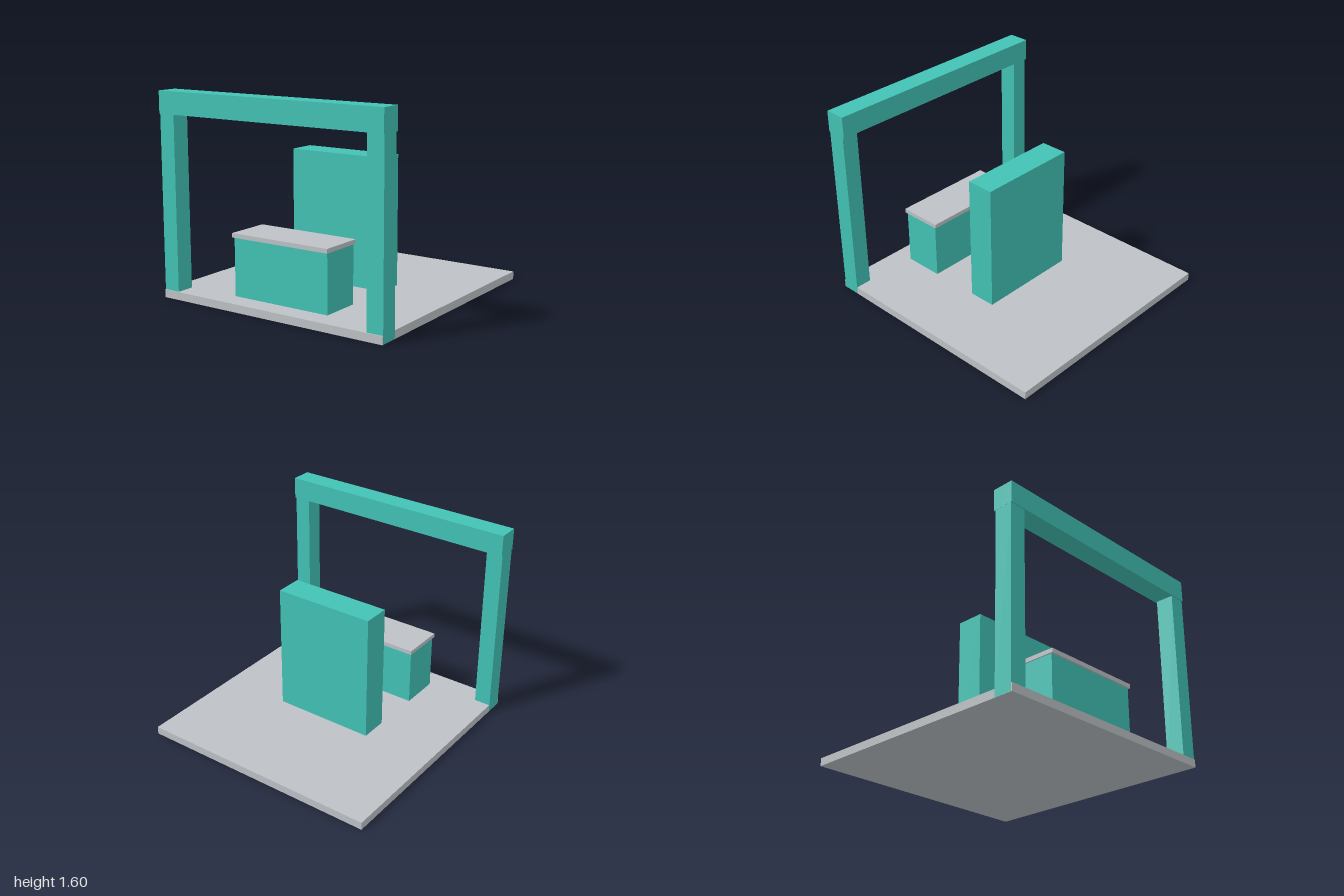
import * as THREE from 'three';

export function createModel() {
  const model = new THREE.Group();
  model.name = 'boothStand';

  const teal = new THREE.MeshStandardMaterial({ color: 0x42c2b4 });
  teal.name = 'teal';
  const grey = new THREE.MeshStandardMaterial({ color: 0xbdc2c6 });
  grey.name = 'light grey';

  // Box given by its lower and upper limits on each axis
  function block(name, material, [x0, x1], [y0, y1], [z0, z1]) {
    const mesh = new THREE.Mesh(new THREE.BoxGeometry(x1 - x0, y1 - y0, z1 - z0), material);
    mesh.position.set((x0 + x1) / 2, (y0 + y1) / 2, (z0 + z1) / 2);
    mesh.name = name;
    model.add(mesh);
  }

  // Floor platform
  block('floor', grey, [-0.994, 0.994], [0, 0.063], [-1, 1]);

  // Entrance frame: two posts, let into the floor, and a beam
  block('leftPost', teal, [0.86, 0.995], [0.002, 1.426], [0.845, 0.992]);
  block('rightPost', teal, [-0.995, -0.86], [0.002, 1.426], [0.845, 0.992]);
  block('beam', teal, [-0.996, 0.996], [1.426, 1.6], [0.83, 1]);

  // Counter with an overhanging top
  block('counter', teal, [-0.425, 0.425], [0.03, 0.52], [0.507, 0.834]);
  block('counterTop', grey, [-0.435, 0.435], [0.52, 0.554], [0.491, 0.85]);

  // Thick panel standing in the middle
  block('centrePanel', teal, [-0.419, 0.419], [0.03, 1.1], [-0.115, 0.109]);

  return model;
}
